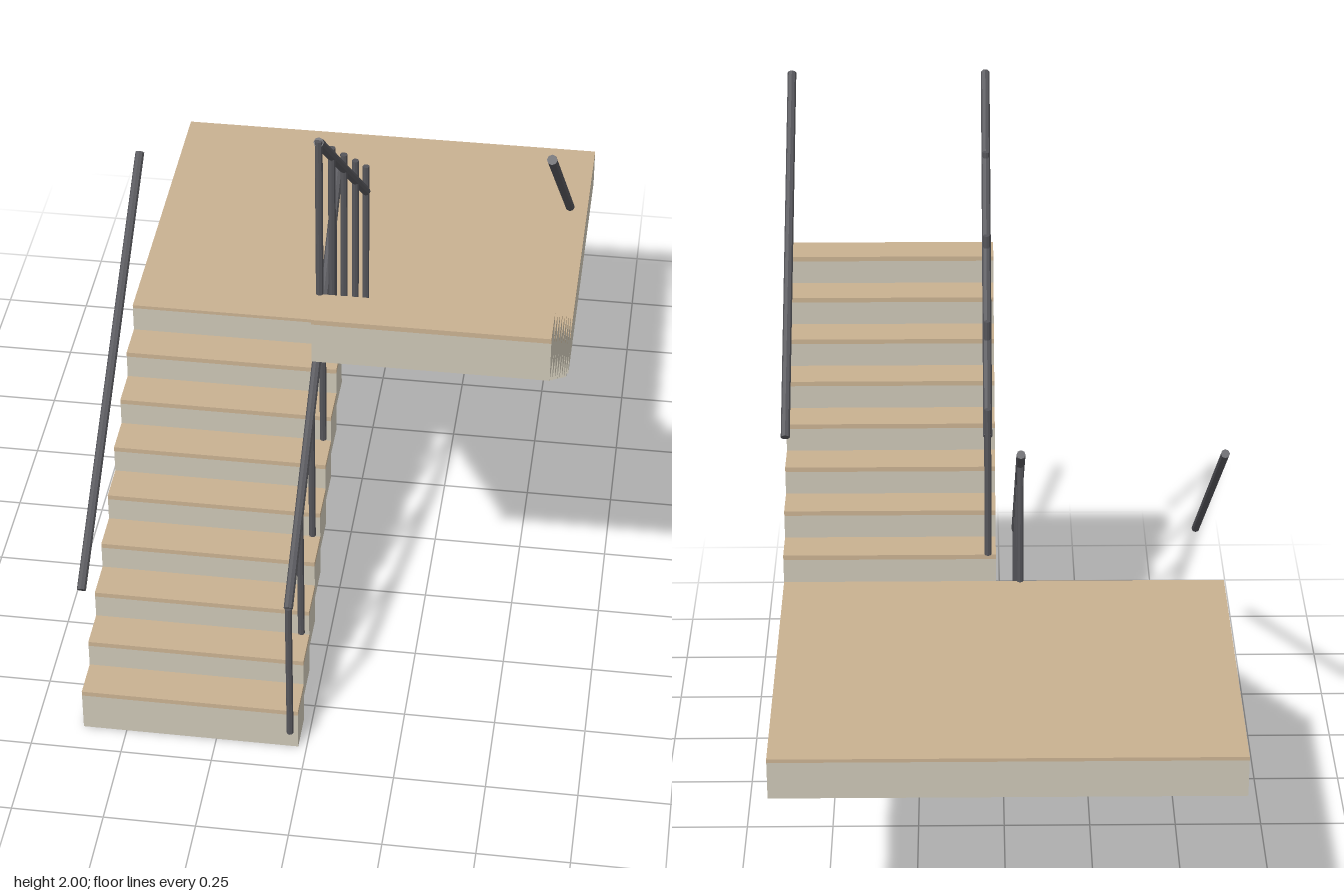
import * as THREE from 'three';

const STEPS = 8, RUN = 0.1105, RISE = 0.083, FRONT = 0.915, BACK = -0.925;
const STEP_HEIGHT = 0.129, TREAD = 0.014, HALF_WIDTH = 0.62, GAP = 0.023;

export function createModel() {
  const concrete = new THREE.MeshStandardMaterial({ name: 'concrete', color: 0xcac4b4 });
  const wood = new THREE.MeshStandardMaterial({ name: 'wood', color: 0xc8b090 });
  const metal = new THREE.MeshStandardMaterial({ name: 'metal', color: 0x55555a, flatShading: true });

  const model = new THREE.Group();
  model.name = 'staircase';

  // Box given by its minimum and maximum corners
  function box(parent, name, material, [x0, y0, z0], [x1, y1, z1]) {
    const mesh = new THREE.Mesh(new THREE.BoxGeometry(x1 - x0, y1 - y0, z1 - z0), material);
    mesh.position.set((x0 + x1) / 2, (y0 + y1) / 2, (z0 + z1) / 2);
    mesh.name = name;
    parent.add(mesh);
  }

  // Concrete block with a wooden covering on top
  function slab(parent, name, x0, x1, y0, y1, z0, z1, cover) {
    box(parent, name, concrete, [x0, y0, z0], [x1, y1 - cover, z1]);
    box(parent, name + 'Tread', wood, [x0, y1 - cover, z0], [x1, y1, z1]);
  }

  // Round bar between two points
  function bar(parent, name, from, to, radius) {
    const a = new THREE.Vector3(...from), b = new THREE.Vector3(...to);
    const dir = b.clone().sub(a);
    const mesh = new THREE.Mesh(new THREE.CylinderGeometry(radius, radius, dir.length(), 8), metal);
    mesh.position.copy(a).add(b).multiplyScalar(0.5);
    mesh.quaternion.setFromUnitVectors(new THREE.Vector3(0, 1, 0), dir.normalize());
    mesh.name = name;
    parent.add(mesh);
  }

  // Flight of steps; dir -1 climbs to the back, +1 climbs to the front
  function flight(name, x0, x1, baseY, dir) {
    const group = new THREE.Group();
    group.name = name;
    for (let i = 0; i < STEPS; i++) {
      const slot = dir < 0 ? i : STEPS - 1 - i;
      const z1 = FRONT - slot * RUN, y0 = baseY + i * RISE;
      slab(group, 'step', x0, x1, y0, y0 + STEP_HEIGHT, z1 - RUN, z1, TREAD);
    }
    model.add(group);
  }

  // Handrails on both sides, with posts on the inner side only
  function railing(name, innerX, outerX, low, high, postBase, dir) {
    const group = new THREE.Group();
    group.name = name;
    for (const x of [innerX, outerX]) bar(group, 'handrail', [x, ...low], [x, ...high], 0.0125);
    for (let i = 0; i < 5; i++) {
      const y = postBase + i * 2 * RISE;
      const z = low[1] + dir * i * 2 * RUN;
      bar(group, 'post', [innerX, y, z], [innerX, y + 0.45, z], 0.0095);
    }
    model.add(group);
  }

  const landingFront = FRONT - STEPS * RUN;
  flight('lowerFlight', -HALF_WIDTH, -GAP, 0, -1);
  flight('upperFlight', GAP, HALF_WIDTH, 0.75, 1);
  slab(model, 'landing', -HALF_WIDTH, HALF_WIDTH, 0.678, 0.795, BACK, landingFront, 0.01);

  railing('lowerRailing', -0.045, -0.603, [0.5, FRONT], [1.245, -0.078], 0.05, -1);
  railing('upperRailing', 0.045, 0.603, [1.248, landingFront], [1.99, FRONT], 0.88, 1);

  return model;
}
